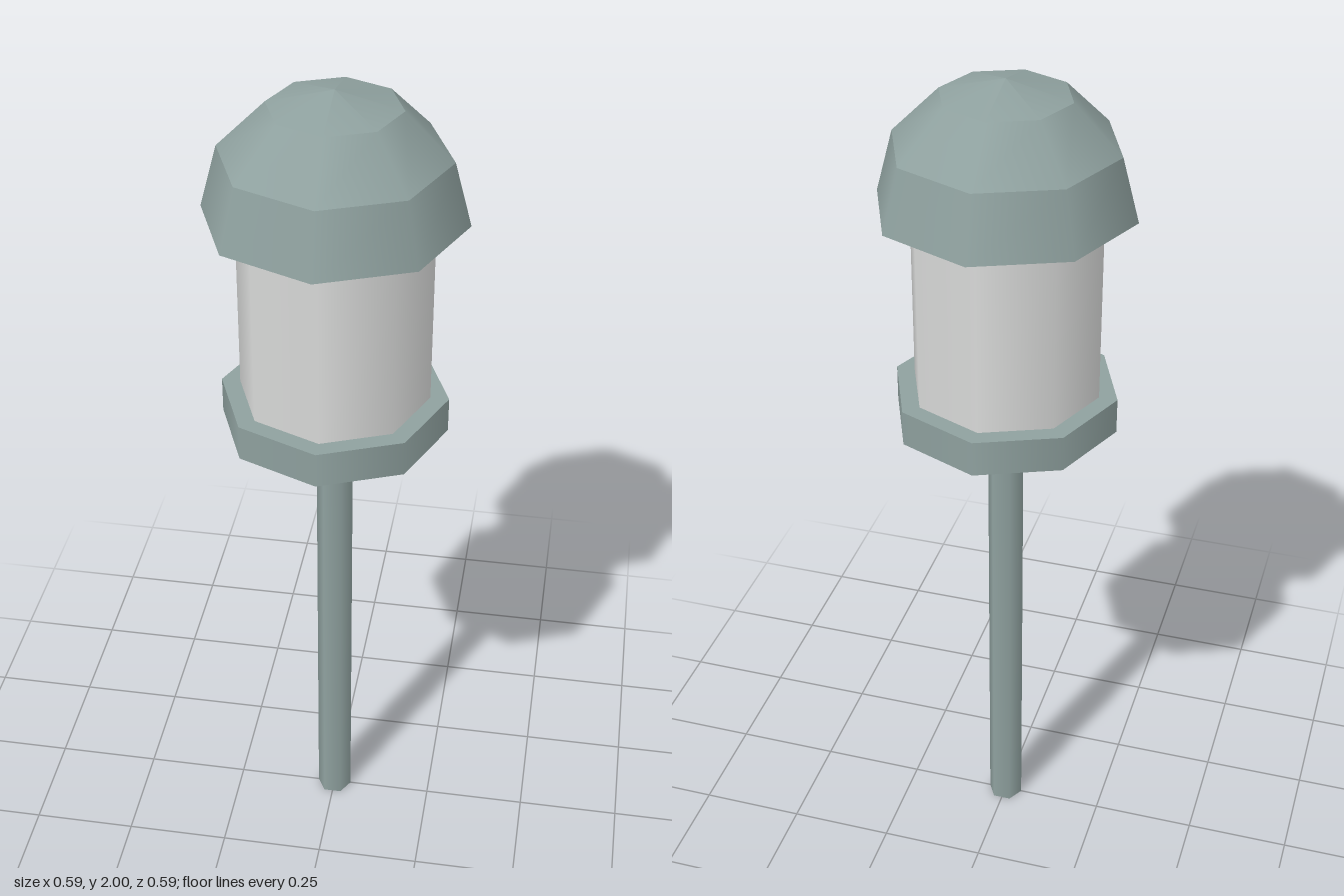
import * as THREE from 'three';

export function createModel() {
  const model = new THREE.Group();
  model.name = 'gardenLamp';

  const metal = new THREE.MeshStandardMaterial({ color: 0x8fa19f });
  metal.name = 'sage grey metal';
  const glass = new THREE.MeshStandardMaterial({ color: 0xd9dad9 });
  glass.name = 'frosted glass';

  // A prism or tapered ring between two heights
  function ring(name, material, rTop, rBottom, yBottom, yTop, sides = 8, open = false) {
    const geometry = new THREE.CylinderGeometry(rTop, rBottom, yTop - yBottom, sides, 1, open);
    const mesh = new THREE.Mesh(geometry, material);
    mesh.name = name;
    mesh.position.y = (yBottom + yTop) / 2;
    return mesh;
  }

  // Hexagonal pole with corners on the x axis
  const pole = ring('pole', metal, 0.043, 0.043, 0, 1.18, 6);
  pole.rotation.y = Math.PI / 2;
  model.add(pole);

  // Octagonal base plate and glass body
  model.add(ring('basePlate', metal, 0.263, 0.263, 1.18, 1.265));
  model.add(ring('glassBody', glass, 0.22, 0.22, 1.265, 1.71));

  // Faceted dome: stacked bands, smooth around and creased between
  const dome = new THREE.Group();
  dome.name = 'domeCap';
  const profile = [[0.294, 1.71], [0.255, 1.855], [0.147, 1.963], [0, 2]];
  for (let i = 0; i < profile.length - 1; i++) {
    const [r0, y0] = profile[i];
    const [r1, y1] = profile[i + 1];
    dome.add(ring('domeBand' + (i + 1), metal, r1, r0, y0, y1, 8, true));
  }

  // Flat underside of the dome
  const underside = new THREE.Mesh(new THREE.CircleGeometry(0.294, 8), metal);
  underside.name = 'domeUnderside';
  underside.rotation.x = Math.PI / 2;
  underside.position.y = 1.71;
  dome.add(underside);
  model.add(dome);

  return model;
}
